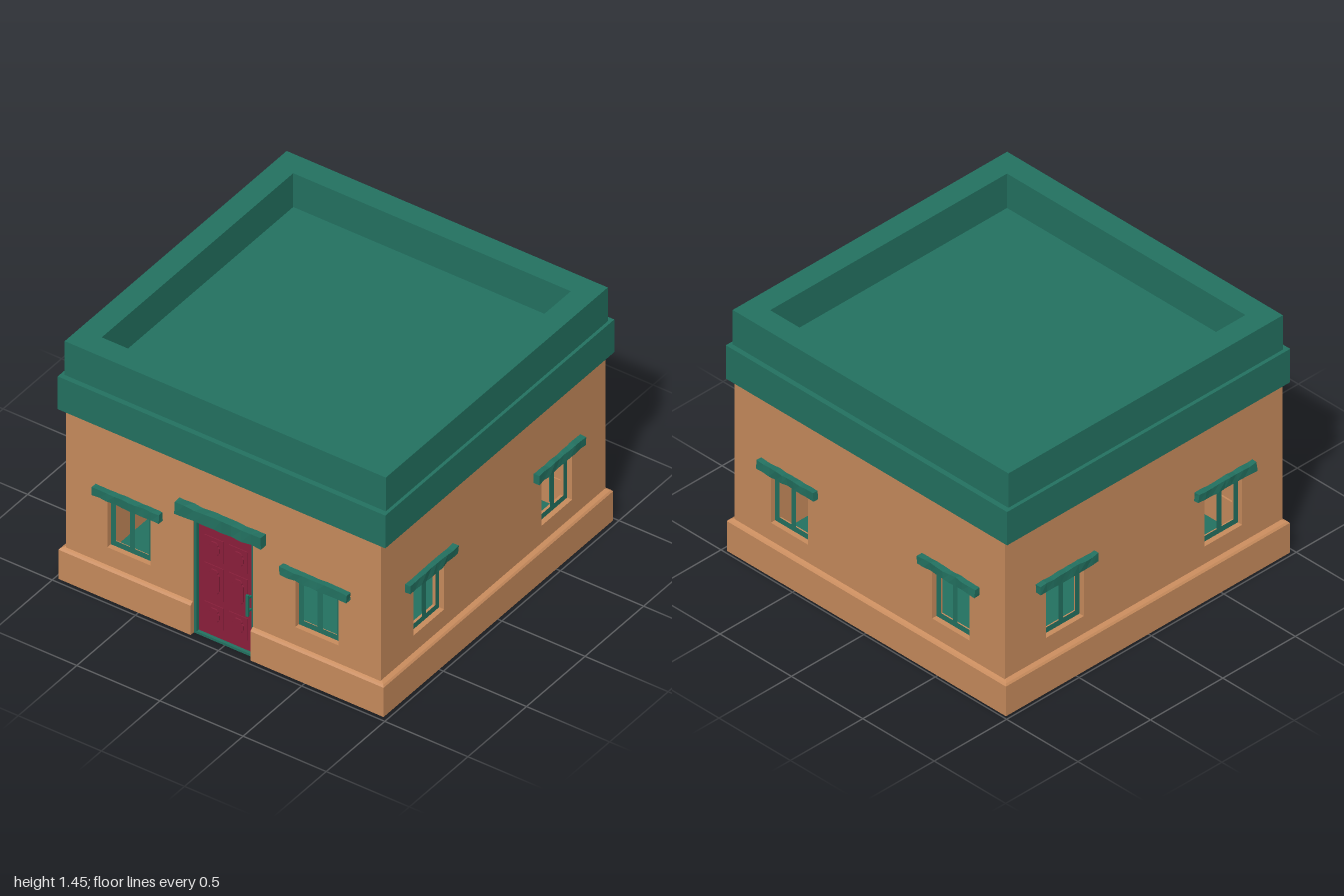
import * as THREE from 'three';

const green = new THREE.MeshStandardMaterial({ color: 0x237261 });
green.name = 'paintedGreen';
const adobe = new THREE.MeshStandardMaterial({ color: 0xc98c5d });
adobe.name = 'adobeWall';
const red = new THREE.MeshStandardMaterial({ color: 0x8c1f3c });
red.name = 'doorRed';

function add(parent, name, geometry, material) {
  const mesh = new THREE.Mesh(geometry, material);
  mesh.name = name;
  parent.add(mesh);
  return mesh;
}

// Box given by its minimum and maximum on each axis
function box(parent, name, material, x0, x1, y0, y1, z0, z1) {
  const mesh = add(parent, name, new THREE.BoxGeometry(x1 - x0, y1 - y0, z1 - z0), material);
  mesh.position.set((x0 + x1) / 2, (y0 + y1) / 2, (z0 + z1) / 2);
  return mesh;
}

function rectPath(x0, x1, y0, y1) {
  return new THREE.Path([[x0, y0], [x0, y1], [x1, y1], [x1, y0]].map(p => new THREE.Vector2(...p)));
}

// Rough-hewn beam: a box whose cross-sections wobble along its length
function beam(parent, name, x0, x1, y0, y1, z0, z1, seed) {
  const g = new THREE.BoxGeometry(x1 - x0, y1 - y0, z1 - z0, 9, 1, 1).toNonIndexed();
  const p = g.attributes.position;
  const wob = (a, b) => {
    const s = Math.sin(a * 127.1 + b * 311.7 + seed * 74.7) * 43758.5;
    return s - Math.floor(s);
  };
  for (let i = 0; i < p.count; i++) {
    const x = p.getX(i), y = p.getY(i), z = p.getZ(i);
    const k = Math.round(x * 1000), side = (y > 0 ? 1 : 2) + (z > 0 ? 4 : 0);
    p.setXYZ(i, x - Math.sign(x) * 0.008 * wob(side, 3),
      y - Math.sign(y) * 0.009 * wob(k, side),
      z - Math.sign(z) * 0.007 * wob(side, k));
  }
  g.computeVertexNormals();
  const mesh = add(parent, name, g, green);
  mesh.position.set((x0 + x1) / 2, (y0 + y1) / 2, (z0 + z1) / 2);
}

// Recessed two-pane window with a beam above; d is the distance to the wall face
function addWindow(parent, x, d, seed) {
  const w = new THREE.Group();
  w.name = 'window';
  const shape = new THREE.Shape(rectPath(-0.131, 0.131, 0.304, 0.616).getPoints());
  shape.holes.push(rectPath(-0.1, -0.016, 0.338, 0.596), rectPath(0.016, 0.1, 0.338, 0.596));
  const frame = add(w, 'windowFrame',
    new THREE.ExtrudeGeometry(shape, { depth: 0.03, bevelEnabled: false }), green);
  frame.position.z = d - 0.06;
  beam(w, 'windowLintel', -0.205, 0.205, 0.612, 0.67, d - 0.05, d + 0.037, seed);
  w.position.x = x;
  parent.add(w);
}

// Plinth: a closed profile swept round the house, open at the doorway
function plinthGeometry() {
  const path = [[0.175, 0.975, 0, 1], [0.975, 0.975, 1, 1], [0.975, -0.985, 1, -1],
    [-0.98, -0.985, -1, -1], [-0.98, 0.975, -1, 1], [-0.185, 0.975, 0, 1]];
  const profile = [[0, 0], [0, 0.18], [0.008, 0.19], [0.03, 0.2], [0.1, 0.2], [0.1, 0]];
  const at = (i, j) => {
    const [x, z, sx, sz] = path[i], [inset, y] = profile[j];
    return [x - sx * inset, y, z - sz * inset];
  };
  const v = [], n = profile.length;
  for (let i = 0; i < path.length - 1; i++) {
    for (let j = 0; j < n; j++) {
      const k = (j + 1) % n;
      const a = at(i, j), b = at(i + 1, j), c = at(i + 1, k), d = at(i, k);
      v.push(...a, ...b, ...c, ...a, ...c, ...d);
    }
  }
  const end = path.length - 1;
  for (let j = 1; j < n - 1; j++) {
    v.push(...at(0, 0), ...at(0, j), ...at(0, j + 1));
    v.push(...at(end, 0), ...at(end, j + 1), ...at(end, j));
  }
  const g = new THREE.BufferGeometry();
  g.setAttribute('position', new THREE.Float32BufferAttribute(v, 3));
  g.computeVertexNormals();
  return g;
}

// Elongated medallion with stepped corners
function medallion(w, h) {
  const q = [[w, h - 0.03], [w - 0.009, h - 0.021], [w - 0.009, h - 0.012], [w - 0.018, h]];
  const pts = [...q, ...q.map(([x, y]) => [-x, y]).reverse(),
    ...q.map(([x, y]) => [-x, -y]), ...q.map(([x, y]) => [x, -y]).reverse()];
  return new THREE.Shape(pts.map(p => new THREE.Vector2(...p)));
}

function addDoor(parent) {
  const door = new THREE.Group();
  door.name = 'door';
  box(door, 'doorLeaf', red, -0.17, 0.165, 0.012, 0.71, 0.885, 0.93);
  // Six panels, each a raised border around a medallion
  for (const [y0, y1] of [[0.075, 0.21], [0.25, 0.45], [0.485, 0.62]]) {
    for (const x of [-0.074, 0.071]) {
      const h = (y1 - y0) / 2, y = (y0 + y1) / 2;
      const border = new THREE.Shape(rectPath(-0.057, 0.057, -h, h).getPoints());
      border.holes.push(rectPath(-0.047, 0.047, -h + 0.01, h - 0.01));
      const rim = add(door, 'panelBorder', new THREE.ExtrudeGeometry(border, { depth: 0.004, bevelEnabled: false }), red);
      rim.position.set(x, y, 0.93);
      const plate = add(door, 'panelMedallion', new THREE.ExtrudeGeometry(medallion(0.033, h - 0.024),
        { depth: 0.007, bevelEnabled: false }), red);
      plate.position.set(x, y, 0.93);
    }
  }
  // Frame and sill
  box(door, 'doorJamb', green, -0.187, -0.168, 0, 0.735, 0.88, 0.948);
  box(door, 'doorJamb', green, 0.163, 0.177, 0, 0.735, 0.88, 0.948);
  box(door, 'doorHead', green, -0.17, 0.165, 0.708, 0.737, 0.88, 0.948);
  box(door, 'doorSill', green, -0.17, 0.165, 0, 0.014, 0.88, 0.948);
  // Pull handle
  box(door, 'handleGrip', green, 0.137, 0.152, 0.25, 0.38, 0.952, 0.964);
  for (const y of [0.27, 0.35]) box(door, 'handlePost', green, 0.139, 0.15, y, y + 0.012, 0.928, 0.955);
  beam(door, 'doorLintel', -0.272, 0.26, 0.728, 0.806, 0.9, 1.003, 11);
  parent.add(door);
}

export function createModel() {
  const house = new THREE.Group();
  house.name = 'house';

  // Four walls, each drawn facing +z and turned into place
  const sides = [
    { name: 'frontWall', turn: 0, d: 0.955, x0: -0.95, x1: 0.945, win: [-0.57, 0.56], door: true },
    { name: 'backWall', turn: Math.PI, d: 0.962, x0: -0.945, x1: 0.95, win: [-0.56, 0.57] },
    { name: 'rightWall', turn: Math.PI / 2, d: 0.945, x0: -0.885, x1: 0.892, win: [-0.545, 0.548] },
    { name: 'leftWall', turn: -Math.PI / 2, d: 0.95, x0: -0.892, x1: 0.885, win: [-0.548, 0.545] },
  ];
  sides.forEach((s, i) => {
    const side = new THREE.Group();
    side.name = s.name;
    const shape = new THREE.Shape();
    shape.moveTo(s.x0, 0.02);
    if (s.door) for (const p of [[-0.185, 0.02], [-0.185, 0.735], [0.175, 0.735], [0.175, 0.02]]) shape.lineTo(...p);
    shape.lineTo(s.x1, 0.02);
    shape.lineTo(s.x1, 1.05);
    shape.lineTo(s.x0, 1.05);
    shape.closePath();
    for (const x of s.win) shape.holes.push(rectPath(x - 0.13, x + 0.13, 0.305, 0.615));
    const wall = add(side, 'wallPanel', new THREE.ExtrudeGeometry(shape, { depth: 0.07, bevelEnabled: false }), adobe);
    wall.position.z = s.d - 0.07;
    s.win.forEach((x, j) => addWindow(side, x, s.d, i * 2 + j + 1));
    side.rotation.y = s.turn;
    house.add(side);
  });

  add(house, 'plinth', plinthGeometry(), adobe);
  addDoor(house);
  box(house, 'floor', green, -0.885, 0.88, 0.01, 0.03, -0.89, 0.885);

  // Flat roof slab with a parapet on top
  box(house, 'roofSlab', green, -0.988, 0.982, 1.04, 1.242, -0.985, 0.97);
  box(house, 'parapetLeft', green, 0.833, 0.964, 1.24, 1.45, -0.955, 0.94);
  box(house, 'parapetRight', green, -0.967, -0.836, 1.24, 1.45, -0.955, 0.94);
  box(house, 'parapetFront', green, -0.836, 0.833, 1.24, 1.45, 0.81, 0.94);
  box(house, 'parapetBack', green, -0.836, 0.833, 1.24, 1.45, -0.955, -0.825);
  return house;
}
